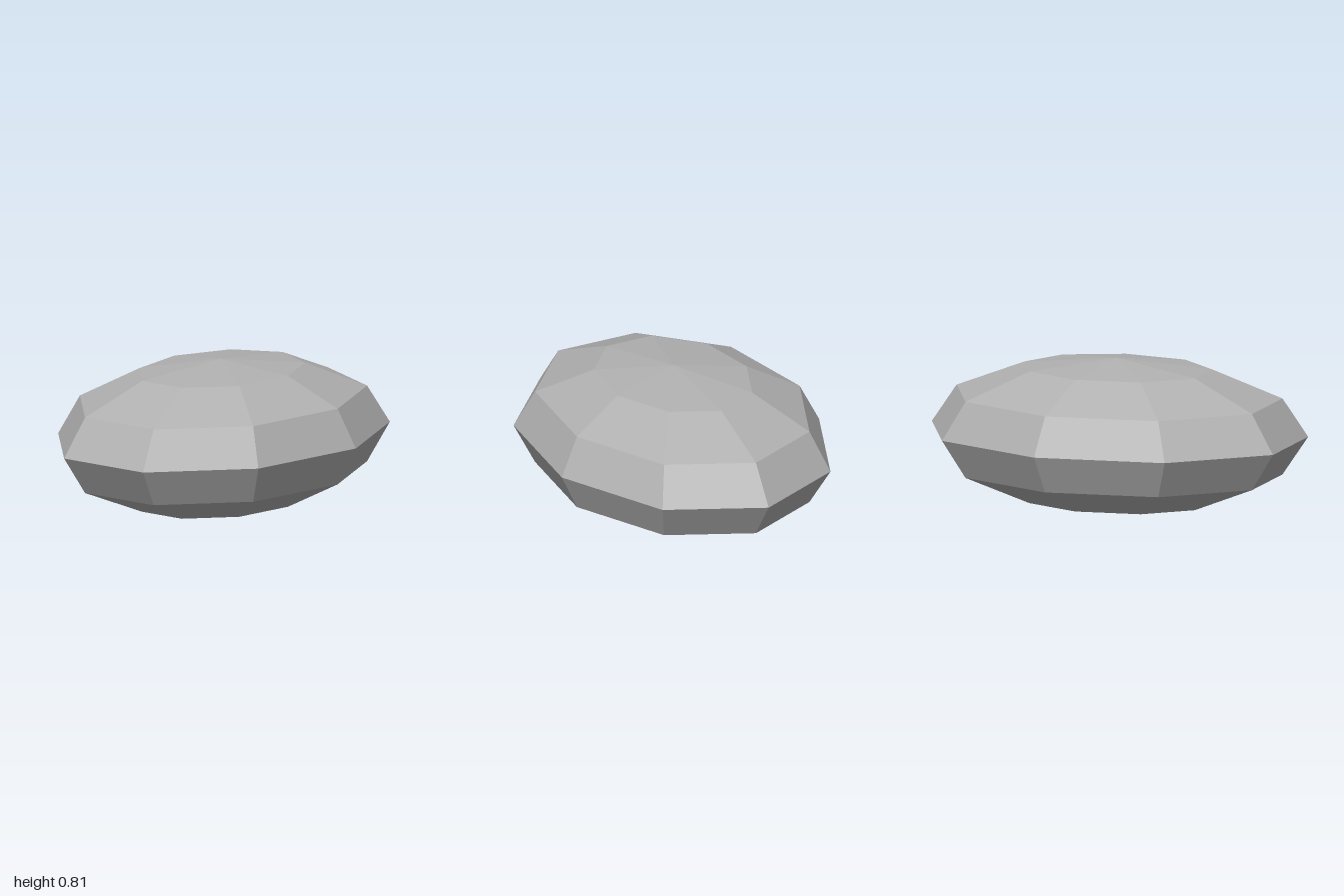
import * as THREE from 'three';

export function createModel() {
  const group = new THREE.Group();
  group.name = 'stone';

  const stoneGrey = new THREE.MeshStandardMaterial({ color: 0xb0b0b0, flatShading: true });
  stoneGrey.name = 'stoneGrey';

  // Nine-sided, six-band faceted ellipsoid with one corner on +x;
  // the odd side count puts its poles slightly left of centre.
  const rx = 2 / (1 + Math.cos(Math.PI / 9));
  const ry = 0.405;
  const rz = 0.779;
  const geometry = new THREE.SphereGeometry(1, 9, 6, Math.PI)
    .scale(rx, ry, rz)
    .translate(1 - rx, ry, 0);

  const body = new THREE.Mesh(geometry, stoneGrey);
  body.name = 'stoneBody';
  group.add(body);
  return group;
}
